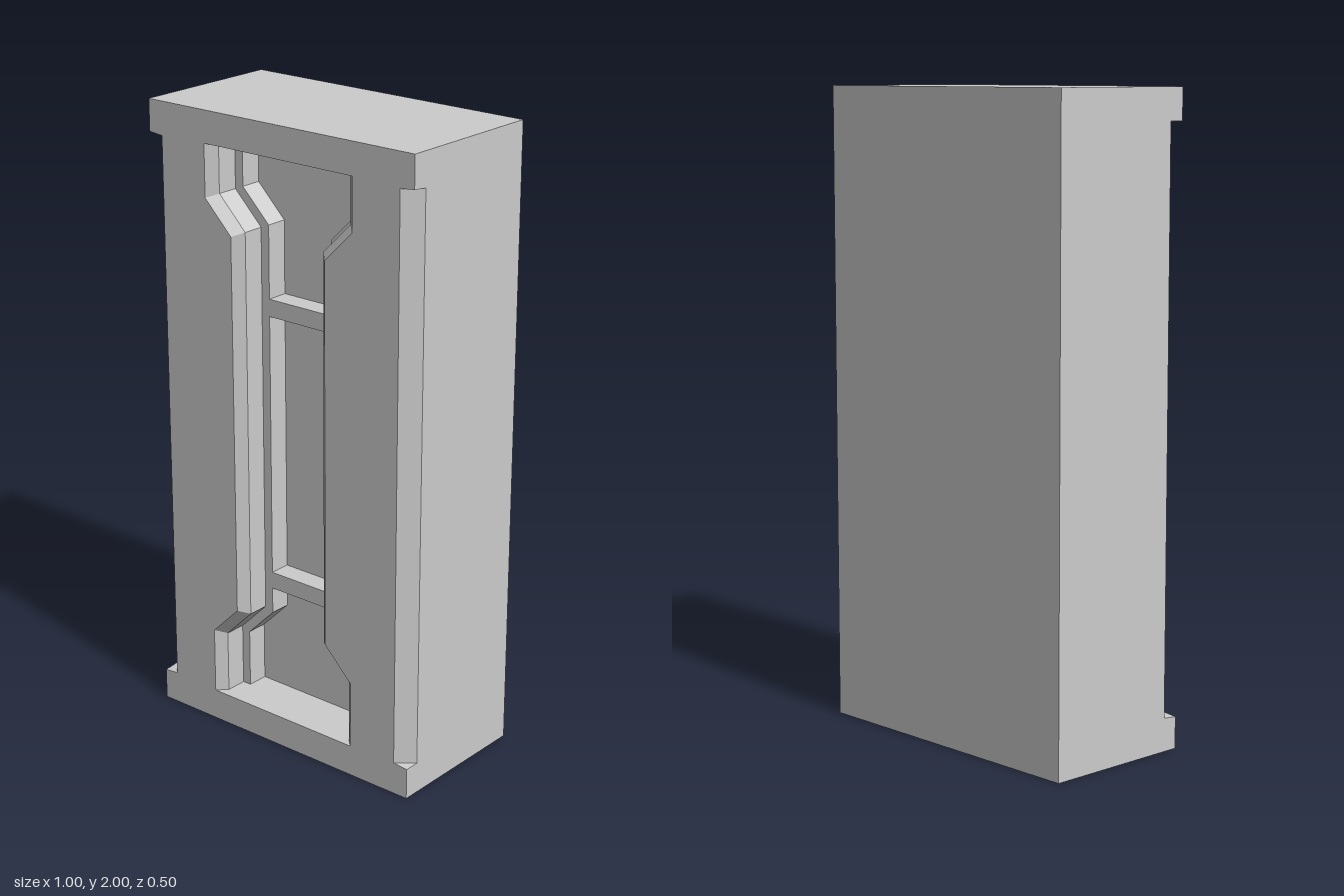
import * as THREE from 'three';
import { mergeGeometries } from 'three/addons/utils/BufferGeometryUtils.js';

const FRONT = 0.25, BACK = -0.25;
const BEVEL_Z = 0.22, LEDGE_Z = 0.15, FLOOR_Z = 0.08;

const mirror = pts => pts.map(([x, y]) => [-x, y]).reverse();

// Flat face at depth z, facing the front
function face(loop, z, hole) {
  const toPts = l => l.map(([x, y]) => new THREE.Vector2(x, y));
  const shape = new THREE.Shape(toPts(loop));
  if (hole) shape.holes.push(new THREE.Path(toPts(hole)));
  const g = new THREE.ShapeGeometry(shape).toNonIndexed();
  g.deleteAttribute('uv');
  return g.translate(0, 0, z);
}

// Wall between two counter-clockwise loops with matching points
function wall(a, za, b, zb) {
  const pos = [];
  a.forEach((p, i) => {
    const j = (i + 1) % a.length;
    const A = [...p, za], B = [...a[j], za], C = [...b[j], zb], D = [...b[i], zb];
    pos.push(...A, ...B, ...C, ...A, ...C, ...D);
  });
  const g = new THREE.BufferGeometry();
  g.setAttribute('position', new THREE.Float32BufferAttribute(pos, 3));
  g.computeVertexNormals();
  return g;
}

// Right-hand edge of the recess, bottom to top, grown outwards by o
function recessSide(o) {
  const w = 0.22 + o, n = 0.12 + o, m = o * 0.414;
  return [[w, 0.1], [w, 0.29 + m], [n, 0.39 + m],
    [n, 1.66 - m], [w, 1.76 - m], [w, 1.9]];
}
const recess = o => [...recessSide(o), ...mirror(recessSide(o))];

export function createModel() {
  const group = new THREE.Group();
  const material = new THREE.MeshStandardMaterial({
    color: 0xcccccc, flatShading: true, side: THREE.DoubleSide });
  const add = (name, ...parts) => {
    const mesh = new THREE.Mesh(mergeGeometries(parts), material);
    mesh.name = name;
    group.add(mesh);
  };

  // Outer block, its long front edges chamfered between the end caps
  const edge = inset => [[0.5, 0], [0.5, 0.1], [0.5 - inset, 0.105],
    [0.5 - inset, 1.895], [0.5, 1.9], [0.5, 2]];
  const outline = inset => [...edge(inset), ...mirror(edge(inset))];
  add('body',
    face(outline(0), 0.25).rotateY(Math.PI),
    wall(outline(0), BACK, outline(0), 0.2),
    wall(outline(0), 0.2, outline(0.05), FRONT),
    face(outline(0.05), FRONT, recess(0.06)));

  // Bevelled rim, then straight wall down to the ledge
  add('recessRim', wall(recess(0.06), FRONT, recess(0.03), BEVEL_Z));
  add('recessWall', wall(recess(0.03), BEVEL_Z, recess(0.03), LEDGE_Z));

  // Ledge along both sides, joined by two crossbars
  const strip = [...recessSide(0.03), ...recessSide(0).reverse()];
  add('ledge', face(strip, LEDGE_Z), face(mirror(strip), LEDGE_Z));
  const bars = [[0.475, 0.53], [1.375, 1.43]];
  bars.forEach(([lo, hi], i) => add(i ? 'upperCrossbar' : 'lowerCrossbar',
    face([[-0.12, lo], [0.12, lo], [0.12, hi], [-0.12, hi]], LEDGE_Z)));

  // Three sunken panels
  const s = recessSide(0);
  const panels = {
    lowerPanel: [...s.slice(0, 3), [0.12, bars[0][0]]],
    middlePanel: [[0.12, bars[0][1]], [0.12, bars[1][0]]],
    upperPanel: [[0.12, bars[1][1]], ...s.slice(3)],
  };
  for (const [name, half] of Object.entries(panels)) {
    const loop = [...half, ...mirror(half)];
    add(name, wall(loop, LEDGE_Z, loop, FLOOR_Z), face(loop, FLOOR_Z));
  }
  return group;
}
